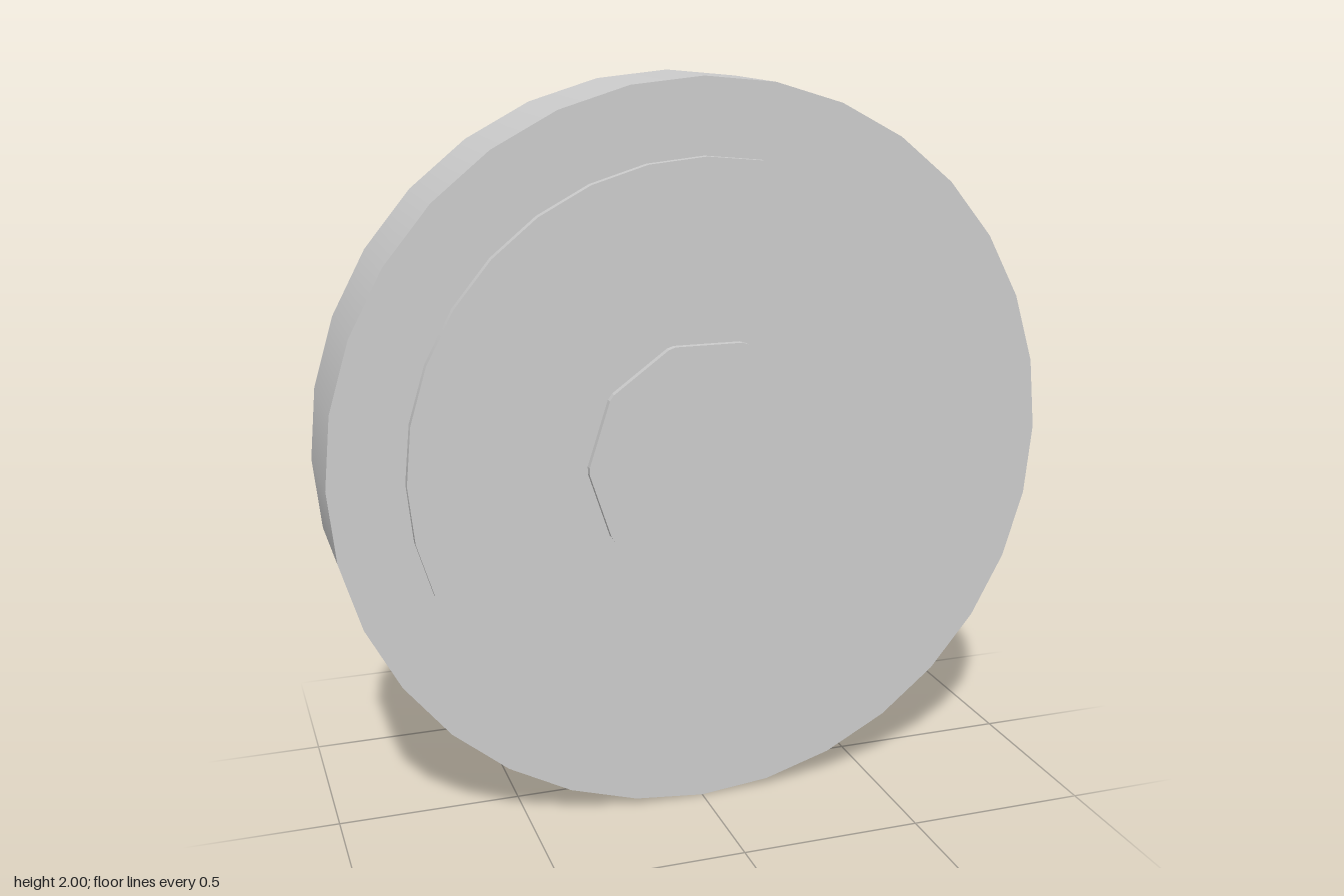
import * as THREE from 'three';

export function createModel() {
  const model = new THREE.Group();
  const grey = new THREE.MeshStandardMaterial({ color: 0xcccccc });
  grey.name = 'light grey';

  const add = (name, geometry) => {
    const mesh = new THREE.Mesh(geometry, grey);
    mesh.name = name;
    mesh.position.y = 1;
    model.add(mesh);
    return mesh;
  };

  // Smooth-sided discs with their axis along z
  const disc = (radius, depth) =>
    new THREE.CylinderGeometry(radius, radius, depth, 32).rotateX(Math.PI / 2);
  add('rim', disc(1, 0.31));

  // Ten-sided hub outline, with each corner slightly cut off
  const corners = Array.from({ length: 10 }, (_, i) => {
    const a = (i * Math.PI) / 5;
    return new THREE.Vector2(Math.cos(a), Math.sin(a)).multiplyScalar(0.331);
  });
  const outline = corners.flatMap((c, i) => [
    c.clone().lerp(corners[(i + 9) % 10], 0.05),
    c.clone().lerp(corners[(i + 1) % 10], 0.05),
  ]);
  const hub = new THREE.ExtrudeGeometry(new THREE.Shape(outline), { depth: 0.02, bevelEnabled: false })
    .translate(0, 0, -0.01);

  // Raised face and hub cap on both sides
  for (const [side, s] of [['front', 1], ['back', -1]]) {
    add(side + 'RaisedFace', disc(0.8, 0.025)).position.z = s * 0.1675;
    add(side + 'HubCap', hub).position.z = s * 0.19;
  }

  return model;
}
